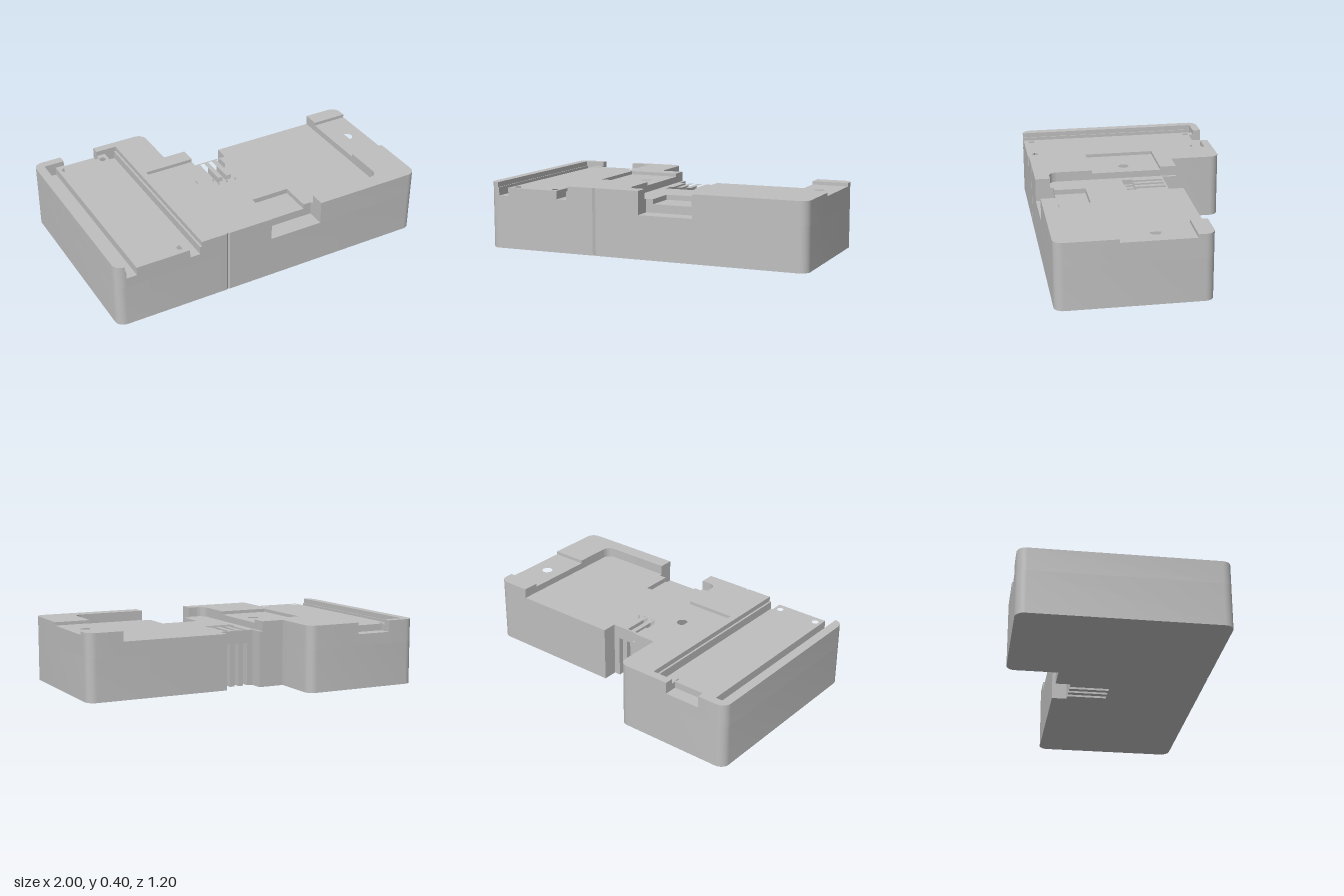
import * as THREE from 'three';
import { toCreasedNormals } from 'three/addons/utils/BufferGeometryUtils.js';

const R = 0.055;     // outer corner radius
const BASE = 0.26;   // height of the solid lower block

// Plan outline from [x, z, cornerRadius?] points; plan z maps to -y of the shape
function outline(points) {
  const shape = new THREE.Shape();
  const n = points.length;
  const v = points.map(([x, z]) => new THREE.Vector2(x, -z));
  points.forEach(([, , r = 0], i) => {
    const p = v[i];
    const towards = (q, d) => p.clone().add(q.clone().sub(p).setLength(d));
    const a = r ? towards(v[(i + n - 1) % n], r) : p;
    if (i === 0) shape.moveTo(a.x, a.y);
    else shape.lineTo(a.x, a.y);
    if (r) {
      const b = towards(v[(i + 1) % n], r);
      const c = a.clone().lerp(p, 0.5523);
      const d = b.clone().lerp(p, 0.5523);
      shape.bezierCurveTo(c.x, c.y, d.x, d.y, b.x, b.y);
    }
  });
  shape.closePath();
  return shape;
}

const rect = (x0, x1, z0, z1) => [[x0, z0], [x1, z0], [x1, z1], [x0, z1]];

function hole(x, z, r) {
  const path = new THREE.Path();
  path.absarc(x, -z, r, 0, Math.PI * 2, true);
  return path;
}

export function createModel() {
  const group = new THREE.Group();
  const grey = new THREE.MeshStandardMaterial({ color: 0xbfbfbf });
  grey.name = 'plain grey';

  // Upright block with the given plan, from y0 to y1
  function block(name, points, y1, holes = [], y0 = BASE) {
    const shape = outline(points);
    shape.holes.push(...holes);
    const geo = new THREE.ExtrudeGeometry(shape, { depth: y1 - y0, bevelEnabled: false, curveSegments: 8 });
    geo.rotateX(-Math.PI / 2);
    geo.translate(0, y0, 0);
    const mesh = new THREE.Mesh(toCreasedNormals(geo, 0.5), grey);
    mesh.name = name;
    group.add(mesh);
  }

  // Contact slots: three fingers running from zBack to zFront
  const slots = [[-0.063, -0.035], [-0.005, 0.021], [0.053, 0.081]];
  const fingers = (zEdge, zTip) =>
    slots.flatMap(([a, b]) => [[a, zEdge], [a, zTip], [b, zTip], [b, zEdge]]);
  const seam = [[-0.29, 0.6], [-0.3, 0.592], [-0.31, 0.6]];

  // Lower body, slots open into the rear notch
  block('lowerBody', [
    [-1, 0.6, R], [-1, -0.6, R], [-0.26, -0.6, R], [-0.26, -0.29],
    [-0.1, -0.29], [-0.1, -0.2], ...fingers(-0.2, 0.04), [0.12, -0.2], [0.12, -0.29],
    [1, -0.29, R], [1, 0.6, R], ...seam,
  ], BASE, [], 0);

  // Full-height rims
  block('railOuterRim', [
    [-1, 0.6, R], [-1, -0.6, R], [-0.82, -0.6], [-0.82, -0.55], [-0.945, -0.55], [-0.945, 0.6],
  ], 0.4);
  block('centreRim', [
    [-0.6, -0.6], [-0.26, -0.6, R], [-0.26, -0.29], [-0.12, -0.29], [-0.12, -0.19],
    [-0.43, -0.19], [-0.43, 0.24], [-0.12, 0.24], [-0.12, 0.51, 0.05], [-0.015, 0.51],
    [-0.015, 0.6], ...seam, [-0.47, 0.6], [-0.47, -0.55], [-0.6, -0.55],
  ], 0.4);
  block('frontRightRim', [
    [0.32, 0.6], [0.32, 0.51], [0.78, 0.51, 0.05], [0.78, 0.24], [1, 0.24], [1, 0.6, R],
  ], 0.4);
  block('backRightRim', [[0.78, -0.29], [1, -0.29, R], [1, -0.19], [0.78, -0.19]], 0.4);

  // Shallow side recesses with a round hole each
  block('centreRecess', rect(-0.43, -0.12, -0.19, 0.24), 0.38, [hole(-0.227, 0.025, 0.033)]);
  block('sideRecess', rect(0.78, 1, -0.19, 0.24), 0.38, [hole(0.887, 0.025, 0.033)]);

  // Main pocket floor with the contact comb cut out
  const comb = new THREE.Path(outline([
    [-0.08, 0.06], [-0.08, -0.005], ...fingers(-0.005, -0.19), [0.097, -0.005], [0.097, 0.06],
  ]).getPoints());
  block('pocketFloor', [
    [-0.12, -0.29], [-0.1, -0.29], [-0.1, -0.2], [0.12, -0.2], [0.12, -0.29], [0.78, -0.29],
    [0.78, 0.51, 0.05], [0.32, 0.51], [0.32, 0.49], [0.27, 0.49], [0.27, 0.3], [0.03, 0.3],
    [0.03, 0.49], [-0.015, 0.49], [-0.015, 0.51], [-0.12, 0.51, 0.05],
  ], 0.34, [comb]);
  block('contactSeat', [
    [-0.08, 0.06], [-0.08, -0.005], ...fingers(-0.005, 0.04), [0.097, -0.005], [0.097, 0.06],
  ], 0.31);
  block('fingerCutoutFloor', rect(0.03, 0.27, 0.3, 0.49), 0.31);

  // Rail channel: floor with screw holes, rear notch, two deep grooves and thin ledges
  const screws = [-0.835, -0.583].flatMap((x) => [-0.498, 0.55].map((z) => hole(x, z, 0.02)));
  block('railFloor', [
    [-0.875, 0.6], [-0.875, -0.55], [-0.82, -0.55], [-0.82, -0.52],
    [-0.6, -0.52], [-0.6, -0.55], [-0.545, -0.55], [-0.545, 0.6],
  ], 0.37, screws);
  block('railRearNotch', rect(-0.82, -0.6, -0.6, -0.52), 0.33);
  block('leftGroove', rect(-0.938, -0.875, -0.55, 0.6), 0.32);
  block('rightGroove', rect(-0.545, -0.482, -0.55, 0.6), 0.32);
  block('leftLedge', rect(-0.945, -0.938, -0.55, 0.6), 0.37);
  block('rightLedge', rect(-0.482, -0.47, -0.55, 0.6), 0.37);

  return group;
}
